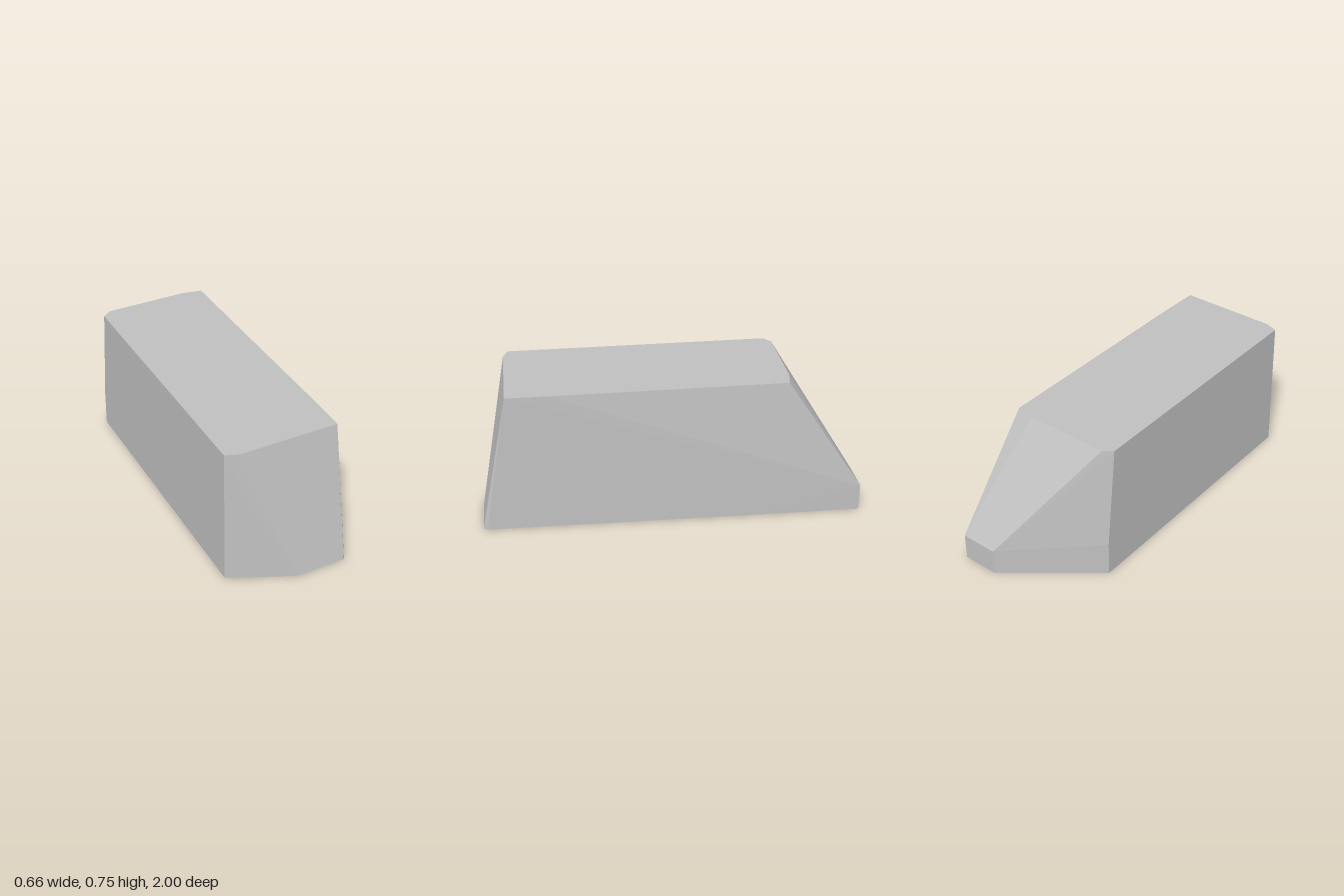
import * as THREE from 'three';
import { ConvexGeometry } from 'three/addons/geometries/ConvexGeometry.js';

export function createModel() {
  const group = new THREE.Group();
  group.name = 'facetedBlock';
  const grey = new THREE.MeshStandardMaterial({ color: 0xc0c0c0 });
  grey.name = 'plainGrey';

  const H = 0.745;
  // outlines as [x, z], joined by flat facets
  const base = [
    [-0.328, 0.845], [-0.18, 0.918], [0.005, 1], [0.27, 1], [0.283, 0.98],
    [0.319, -0.48], [0.328, -1], [0.13, -1], [-0.328, -0.64],
  ];
  const roof = [
    [-0.328, 0.825], [-0.26, 0.85], [0.27, 0.85], [0.274, 0.63],
    [0.273, -0.6], [0.17, -0.62], [-0.28, -0.62], [-0.328, -0.585],
  ];
  // low corners where the back slopes begin, and one crease on the front
  const shoulders = [
    [0.328, 0.145, -1], [0.13, 0.145, -1], [-0.328, 0.19, -0.64], [-0.328, 0.16, 0.842],
  ];

  const points = [
    ...base.map(([x, z]) => new THREE.Vector3(x, 0, z)),
    ...roof.map(([x, z]) => new THREE.Vector3(x, H, z)),
    ...shoulders.map((p) => new THREE.Vector3(...p)),
  ];
  const body = new THREE.Mesh(new ConvexGeometry(points), grey);
  body.name = 'body';
  group.add(body);
  return group;
}
